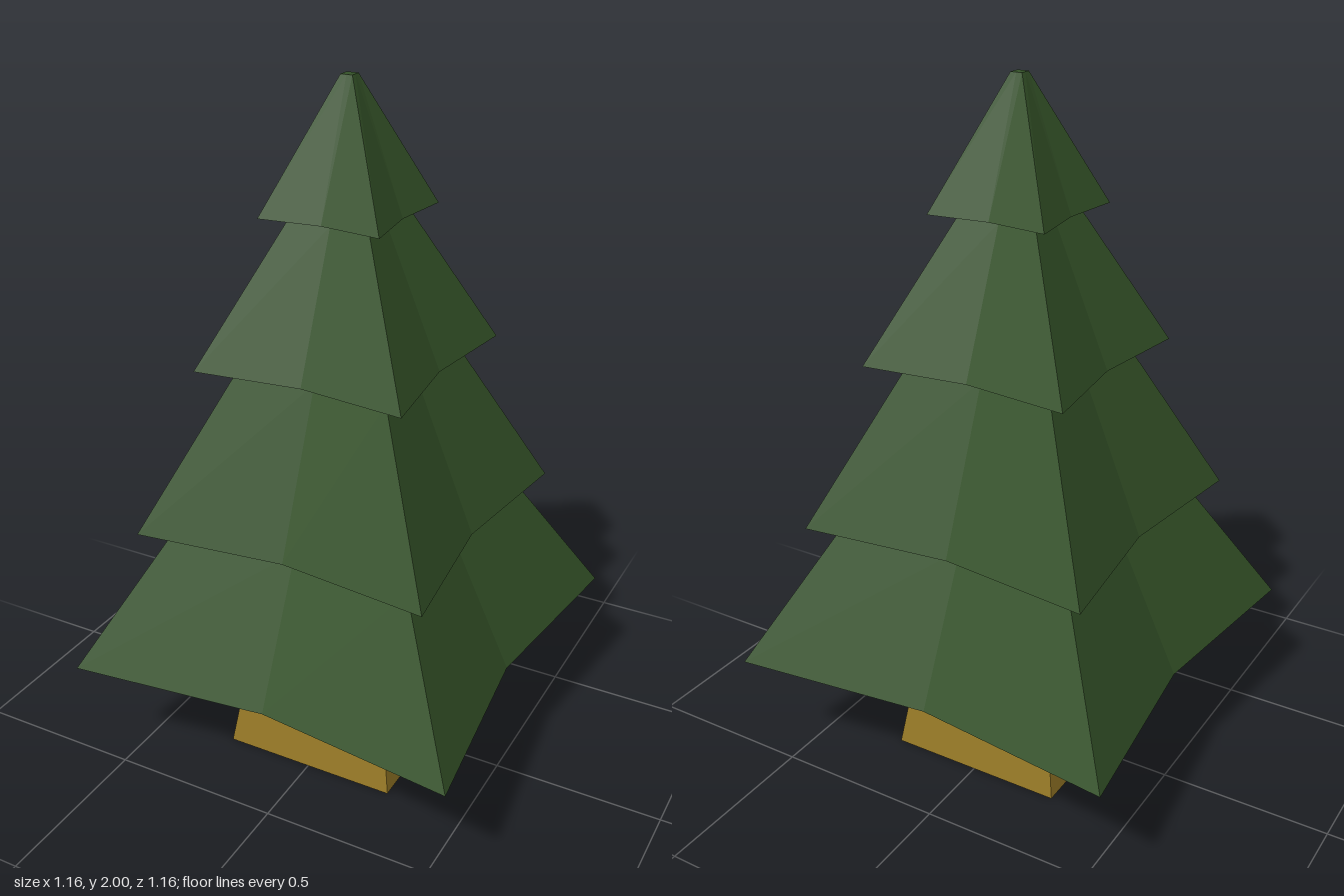
import * as THREE from 'three';

const NOTCH = 0.883; // mid-side points are pulled in, giving star-like tiers
const ALL = [0, 1, 2, 3, 4, 5, 6, 7];

// Point k of a ring: odd k are corners, even k are side middles (0 faces +z, 2 faces +x)
function ringPoint([half, y, notch = NOTCH], k) {
  const a = (k * Math.PI) / 4;
  const r = k % 2 ? half * Math.SQRT2 : half * notch;
  return [Math.sin(a) * r, y, Math.cos(a) * r];
}

// Skin a list of rings [half width, height, notch], ordered from inner bottom to top
function loft(rings, segments = ALL) {
  const pos = [];
  for (let i = 0; i < rings.length - 1; i++) {
    for (const k of segments) {
      const a = ringPoint(rings[i], k), b = ringPoint(rings[i], k + 1);
      const c = ringPoint(rings[i + 1], k + 1), d = ringPoint(rings[i + 1], k);
      if (rings[i][0] > 0) pos.push(...a, ...b, ...c);
      if (rings[i + 1][0] > 0) pos.push(...a, ...c, ...d);
      else if (rings[i][0] === 0) continue;
    }
  }
  const g = new THREE.BufferGeometry();
  g.setAttribute('position', new THREE.Float32BufferAttribute(pos, 3));
  g.computeVertexNormals();
  return g;
}

export function createModel() {
  const group = new THREE.Group();
  const needles = new THREE.MeshStandardMaterial({ color: 0x335127, flatShading: true });
  needles.name = 'needle green';
  const bark = new THREE.MeshStandardMaterial({ color: 0x977926, flatShading: true });
  bark.name = 'bark brown';

  const add = (name, geometry, material) => {
    const mesh = new THREE.Mesh(geometry, material);
    mesh.name = name;
    group.add(mesh);
  };

  // Tapered square trunk reaching up into the lowest tier
  const trunk = new THREE.CylinderGeometry(0.185 * Math.SQRT2, 0.265 * Math.SQRT2, 0.52, 4);
  trunk.rotateY(Math.PI / 4).translate(0, 0.26, 0);
  add('trunk', trunk, bark);

  // Lowest tier, with a hollow underside that is half brown
  const hollow = [[0.185, 0.51, 1], [0.58, 0.36]];
  add('lowestTier', loft([[0.58, 0.36], [0.36, 0.77]]), needles);
  add('undersideGreen', loft(hollow, [1, 2, 3, 4]), needles);
  add('undersideBrown', loft(hollow, [5, 6, 7, 0]), bark);

  // Upper tiers: underside, then sloping sides
  add('lowerMiddleTier', loft([[0.36, 0.77], [0.437, 0.77], [0.225, 1.225]]), needles);
  add('upperMiddleTier', loft([[0.225, 1.225], [0.308, 1.24], [0.12, 1.632]]), needles);
  add('topTier', loft([[0.12, 1.632], [0.176, 1.645], [0.017, 2, 1], [0, 2, 1]]), needles);

  return group;
}
